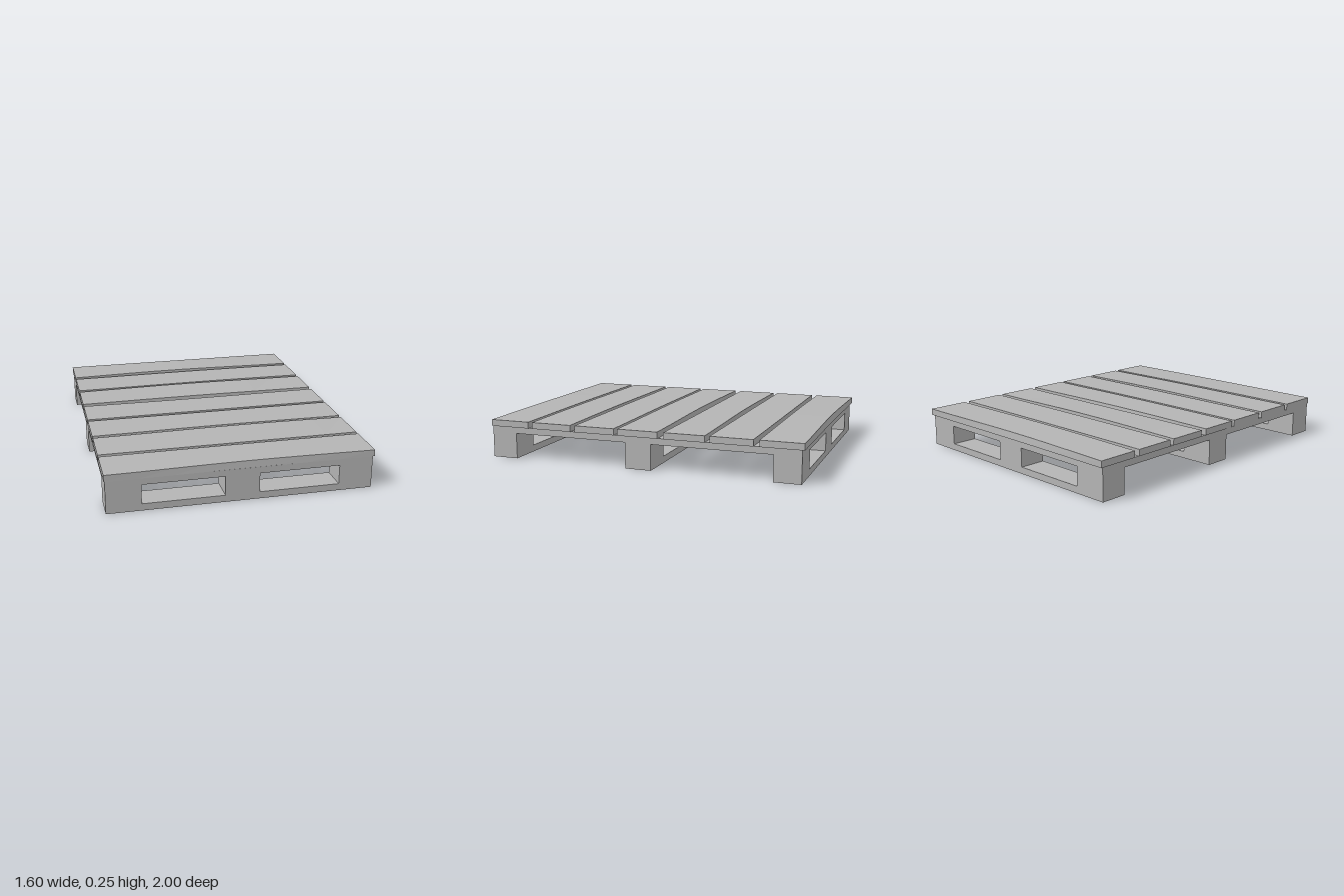
import * as THREE from 'three';

export function createModel() {
  const group = new THREE.Group();
  group.name = 'pallet';
  const wood = new THREE.MeshStandardMaterial({ color: 0xb4b4b4, flatShading: true });
  wood.name = 'grey wood';

  const add = (geometry, name) => {
    const mesh = new THREE.Mesh(geometry, wood);
    mesh.name = name;
    group.add(mesh);
    return mesh;
  };

  // Deck boards: back z, front z, bow of back edge, bow of front edge, lift of back and front top edge, bow centre x
  const boards = [
    [-1.0, -0.74, 0.012, -0.004, 0.004, 0.008, -0.2],
    [-0.705, -0.445, -0.003, -0.003, 0.002, 0.003, 0.25],
    [-0.415, -0.16, 0.003, -0.004, 0.008, 0.002, -0.1],
    [-0.12, 0.135, 0.014, 0.003, 0.002, 0.002, -0.15],
    [0.16, 0.42, 0.003, -0.004, 0.001, 0.003, 0],
    [0.45, 0.712, -0.003, 0.004, 0.006, 0.002, 0.35],
    [0.74, 1.0, 0.002, -0.008, 0.002, 0.004, 0.1],
  ];
  boards.forEach(([z0, z1, bowBack, bowFront, liftBack, liftFront, cx], i) => {
    const geo = new THREE.BoxGeometry(1.6, 0.04, z1 - z0, 8, 1, 1);
    geo.translate(0, 0.22, (z0 + z1) / 2);
    const p = geo.attributes.position;
    for (let k = 0; k < p.count; k++) {
      const x = p.getX(k);
      const bump = Math.max(0, 1 - ((x - cx) / (0.8 + Math.abs(cx))) ** 2) * (1 - (x / 0.8) ** 2);
      const back = p.getZ(k) < (z0 + z1) / 2;
      const top = p.getY(k) > 0.22;
      // The top edges wander more than the bottom ones
      p.setZ(k, p.getZ(k) + bump * (back ? bowBack : bowFront) * (top ? 1 : 0.5));
      if (top) p.setY(k, 0.24 + bump * (back ? liftBack : liftFront));
    }
    geo.computeVertexNormals();
    add(geo, `deckBoard${i + 1}`);
  });

  // Runners with two fork openings each
  const outline = new THREE.Shape([
    new THREE.Vector2(-0.795, 0), new THREE.Vector2(0.79, 0),
    new THREE.Vector2(0.79, 0.2), new THREE.Vector2(-0.795, 0.2),
  ]);
  for (const [a, b] of [[-0.59, -0.105], [0.1, 0.585]]) {
    outline.holes.push(new THREE.Path([
      new THREE.Vector2(a, 0.042), new THREE.Vector2(a, 0.16),
      new THREE.Vector2(b, 0.16), new THREE.Vector2(b, 0.042),
    ]));
  }
  const runners = [['back', -0.985, -0.82], ['middle', -0.075, 0.09], ['front', 0.832, 0.997]];
  for (const [name, z0, z1] of runners) {
    const geo = new THREE.ExtrudeGeometry(outline, { depth: z1 - z0, bevelEnabled: false });
    add(geo, `${name}Runner`).position.z = z0;
  }

  // Flat stringers joining the runners under the deck
  const stringers = [['right', -0.795, -0.59], ['centre', -0.105, 0.1], ['left', 0.585, 0.79]];
  for (const [name, x0, x1] of stringers) {
    for (const [part, z0, z1] of [['Back', -0.82, -0.075], ['Front', 0.09, 0.832]]) {
      add(new THREE.BoxGeometry(x1 - x0, 0.04, z1 - z0), `${name}Stringer${part}`)
        .position.set((x0 + x1) / 2, 0.18, (z0 + z1) / 2);
    }
  }
  return group;
}
